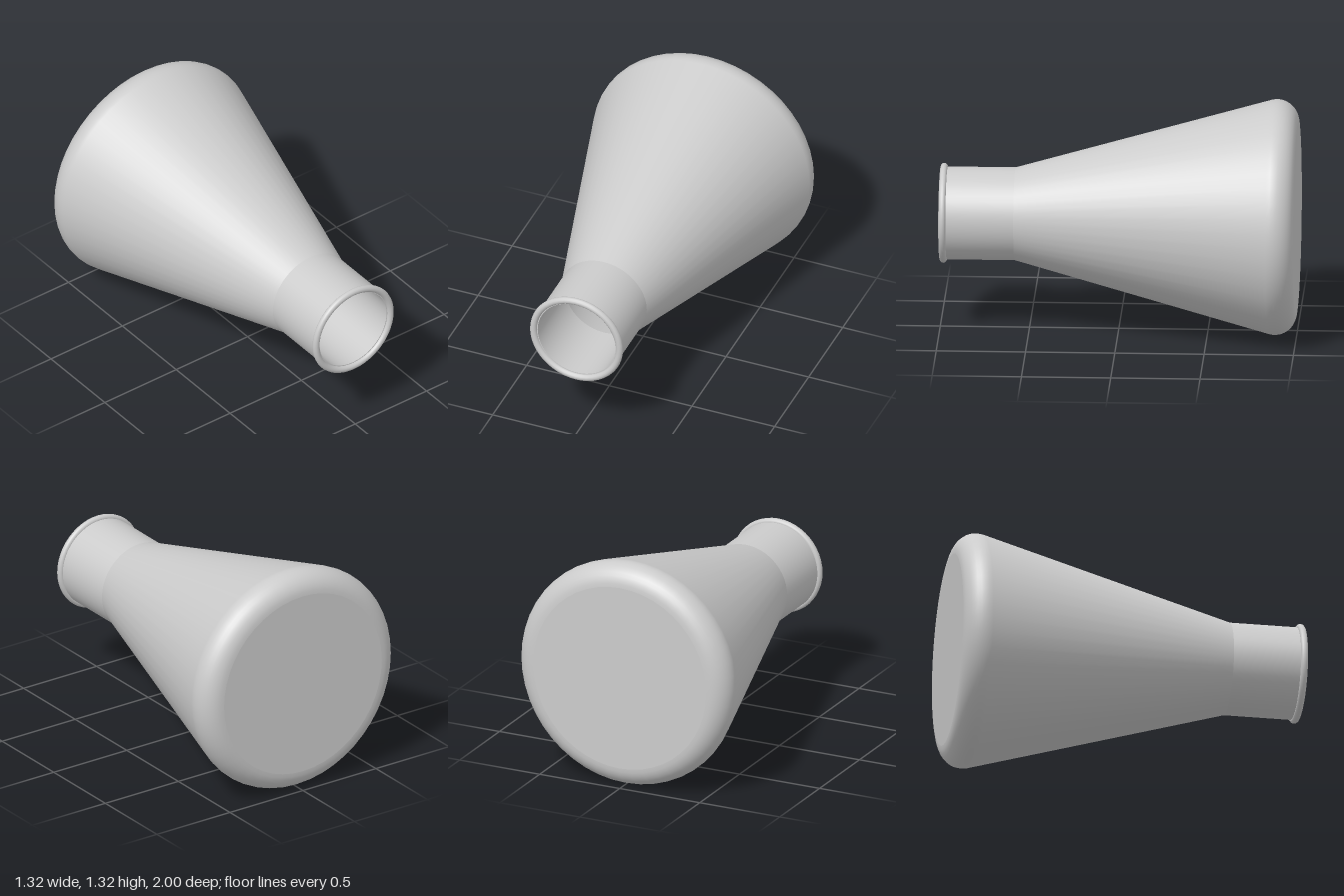
import * as THREE from 'three';

const SEGMENTS = 48;
const WALL = 0.025;
const NECK_R = 0.26, NECK_END = 0.98, SHOULDER_Z = 0.58;
const FILLET = 0.12, BASE_R = 0.54, BASE_Z = -1;
const SLOPE = 0.27; // angle of the cone wall to the axis

export function createModel() {
  const flask = new THREE.Group();
  flask.name = 'conicalFlask';
  const material = new THREE.MeshStandardMaterial({ color: 0xcccccc, side: THREE.DoubleSide });

  const add = (name, geometry) => {
    const mesh = new THREE.Mesh(geometry, material);
    mesh.name = name;
    flask.add(mesh);
  };

  // Turn a [radius, z] profile around the flask's axis
  const turn = (name, profile) => {
    const points = profile.map(([r, z]) => new THREE.Vector2(r, z));
    add(name, new THREE.LatheGeometry(points, SEGMENTS).rotateX(Math.PI / 2));
  };

  // One skin of the glass, set in by t; the inner skin faces inward
  const skin = (prefix, t, inward) => {
    const order = (p) => (inward ? p.reverse() : p);
    const shoulder = [NECK_R - t, SHOULDER_Z - t * Math.tan(SLOPE / 2)];
    const wall = [];
    for (let i = 0; i <= 10; i++) {
      const a = -Math.PI / 2 + (Math.PI / 2 + SLOPE) * (i / 10);
      const f = FILLET - t;
      wall.push([BASE_R + f * Math.cos(a), BASE_Z + FILLET + f * Math.sin(a)]);
    }
    wall.push(shoulder);
    turn(prefix + 'Base', order([[0, BASE_Z + t], [BASE_R, BASE_Z + t]]));
    turn(prefix + 'Cone', order(wall));
    turn(prefix + 'Neck', order([shoulder, [NECK_R - t, NECK_END]]));
  };
  skin('outer', 0, false);
  skin('inner', WALL, true);

  // Mouth: flat rim between the skins and a rolled lip
  turn('rim', [[NECK_R, NECK_END], [NECK_R - WALL, NECK_END]]);
  add('lip', new THREE.TorusGeometry(NECK_R, 0.02, 12, SEGMENTS).translate(0, 0, NECK_END));

  // Lie the flask on its widest edge
  flask.position.y = BASE_R + FILLET;
  return flask;
}
